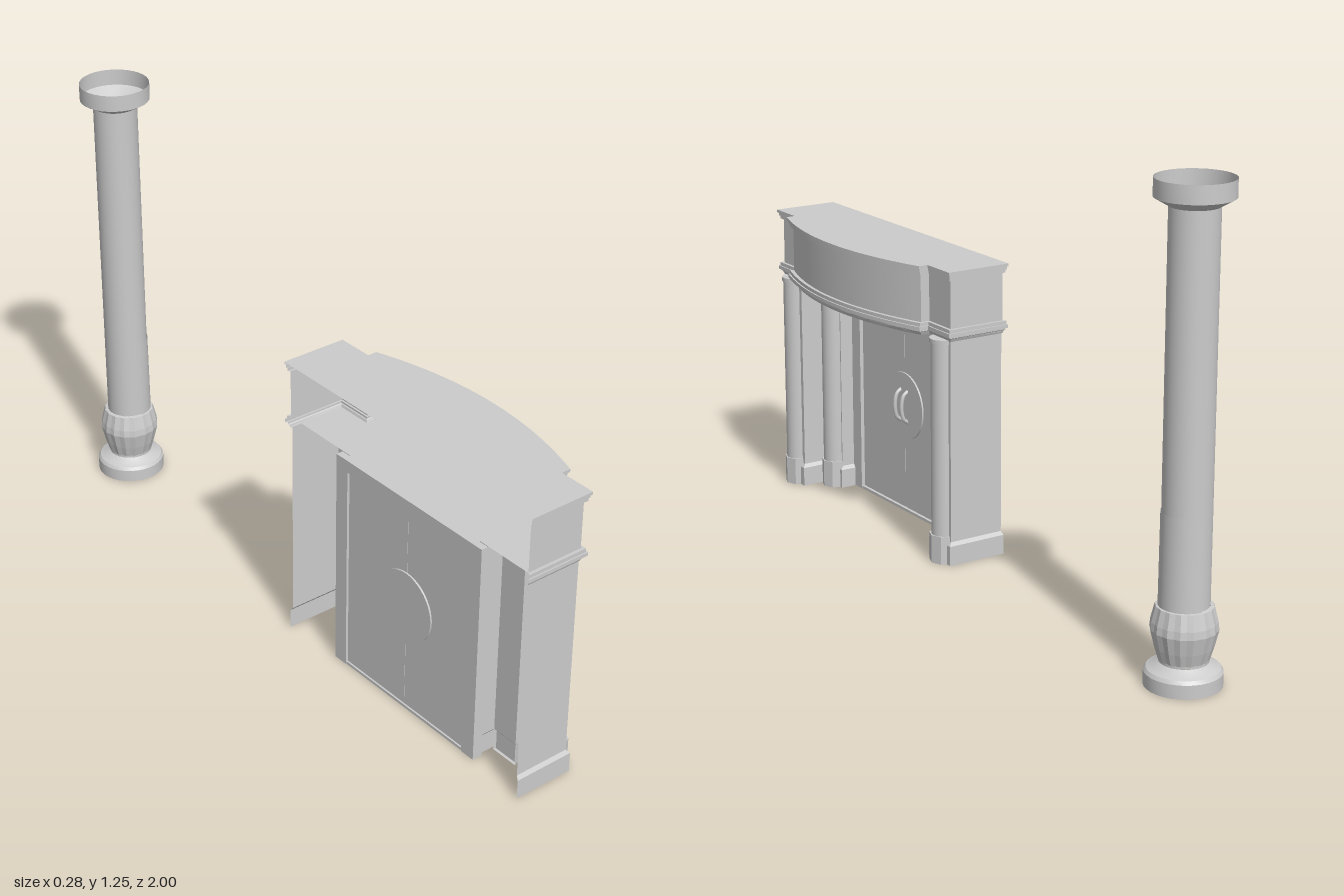
import * as THREE from 'three';
import { toCreasedNormals } from 'three/addons/utils/BufferGeometryUtils.js';

const grey = new THREE.MeshStandardMaterial({ color: 0xcccccc, side: THREE.DoubleSide });
const faceted = new THREE.MeshStandardMaterial({ color: 0xcccccc, side: THREE.DoubleSide, flatShading: true });

function add(parent, name, geometry, x = 0, y = 0, z = 0, material = grey) {
  const mesh = new THREE.Mesh(geometry, material);
  mesh.name = name;
  mesh.position.set(x, y, z);
  parent.add(mesh);
}

// Sweeps a profile of [outset, height] along a plan; plan(outset) gives [x, z] points
function sweep(plan, profile) {
  const rows = profile.map(([o, y]) => plan(o).map(([x, z]) => [x, y, z]));
  const n = rows[0].length;
  const index = [];
  for (let j = 0; j < rows.length - 1; j++) {
    for (let i = 0; i < n - 1; i++) {
      const a = j * n + i, b = a + n;
      index.push(a, b, b + 1, a, b + 1, a + 1);
    }
  }
  const g = new THREE.BufferGeometry();
  g.setAttribute('position', new THREE.Float32BufferAttribute(rows.flat(2), 3));
  g.setIndex(index);
  return toCreasedNormals(g, 0.5);
}

// Flat horizontal sheet filling a plan
function sheet(points) {
  const shape = new THREE.Shape(points.map(([x, z]) => new THREE.Vector2(x, -z)));
  return new THREE.ShapeGeometry(shape).rotateX(-Math.PI / 2);
}

const mirrorPlan = (pts) => pts.map(([x, z]) => [x, -z]).reverse();

// Entablature plan: square ends with a bowed middle
function bowPlan(o, back = -0.132 - o * 0.7) {
  const end = 0.456 + o, step = 0.35 + o, front = 0.036 + o;
  const pts = [[back, -end], [front, -end], [front, -step]];
  for (let i = 0; i <= 28; i++) {
    const t = i / 14 - 1;
    pts.push([0.063 + o + 0.064 * (1 - t * t), t * step]);
  }
  pts.push([front, step], [front, end], [back, end]);
  return pts;
}

// Stepped side wall running from the outer back corner in to the door frame
function wallPlan(o) {
  return [[-0.13 - o * 0.5, -0.453 - o], [0.035 + o, -0.453 - o], [0.035 + o, -0.36 + o],
    [-0.05 + o, -0.36 + o], [-0.05 + o, -0.28 + o], [-0.1 + o, -0.28 + o], [-0.1 + o, -0.25]];
}

// Half cylinder bulging towards +x
const halfColumn = (r, height, sides) =>
  new THREE.CylinderGeometry(r, r, height, sides, 1, false, 0, Math.PI);

function buildPortal() {
  const portal = new THREE.Group();
  portal.name = 'portal';

  // Frieze with stepped mouldings below and above, open at the back
  const mouldings = [[0, 0.638], [0.004, 0.647], [0.007, 0.649], [0.007, 0.654], [0.013, 0.654],
    [0.013, 0.664], [0.009, 0.664], [0.009, 0.674], [0, 0.674], [0, 0.808], [0.007, 0.808],
    [0.007, 0.817], [0.01, 0.817], [0.01, 0.826], [0.014, 0.826], [0.014, 0.834]];
  add(portal, 'entablature', sweep(bowPlan, mouldings));
  add(portal, 'roof', sheet(bowPlan(0.014)), 0, 0.834, 0);
  add(portal, 'ceiling', sheet(bowPlan(0, -0.1)), 0, 0.642, 0);

  // Side walls with a plinth, each carrying two engaged columns
  const wallProfile = [[0.008, 0], [0.008, 0.056], [0, 0.066], [0, 0.642]];
  for (const side of [-1, 1]) {
    const plan = side < 0 ? wallPlan : (o) => mirrorPlan(wallPlan(o));
    add(portal, 'sideWall', sweep(plan, wallProfile));
    for (const [x, z] of [[0.028, 0.408], [-0.05, 0.32]]) {
      const c = new THREE.Group();
      c.name = 'engagedColumn';
      c.position.set(x, 0, side * z);
      add(c, 'columnPlinth', halfColumn(0.042, 0.08, 4), 0, 0.04, 0, faceted);
      add(c, 'columnShaft', halfColumn(0.036, 0.55, 14), 0, 0.355, 0);
      add(c, 'columnCap', halfColumn(0.039, 0.012, 14), 0, 0.634, 0);
      portal.add(c);
    }
  }

  // Door frame around the two leaves
  for (const side of [-1, 1]) {
    add(portal, 'doorJamb', new THREE.BoxGeometry(0.03, 0.605, 0.045), -0.105, 0.3025, side * 0.2575);
  }
  add(portal, 'doorLintel', new THREE.BoxGeometry(0.03, 0.035, 0.56), -0.105, 0.6225, 0);
  add(portal, 'threshold', new THREE.BoxGeometry(0.026, 0.008, 0.47), -0.105, 0.004, 0);

  // Door leaves, round boss and bowed handles
  add(portal, 'doorBoss', new THREE.CylinderGeometry(0.1, 0.1, 0.022, 40).rotateZ(Math.PI / 2), -0.107, 0.32, 0);
  for (const side of [-1, 1]) {
    add(portal, 'doorLeaf', new THREE.BoxGeometry(0.012, 0.597, 0.2345), -0.107, 0.3065, side * 0.1178);
    const arc = new THREE.CatmullRomCurve3([[-0.1, 0.272], [-0.084, 0.285], [-0.077, 0.32],
      [-0.084, 0.355], [-0.1, 0.368]].map(([x, y]) => new THREE.Vector3(x, y, side * 0.018)));
    add(portal, 'doorHandle', new THREE.TubeGeometry(arc, 16, 0.006, 8));
  }
  portal.position.z = 0.532;
  return portal;
}

function lathe(points, segments) {
  const g = new THREE.LatheGeometry(points.map(([r, y]) => new THREE.Vector2(r, y)), segments);
  return toCreasedNormals(g, 0.5);
}

function buildPillar() {
  const pillar = new THREE.Group();
  pillar.name = 'pillar';
  add(pillar, 'pillarBase', lathe([[0.098, 0], [0.098, 0.036], [0.092, 0.045], [0.08, 0.05], [0.063, 0.062]], 32));
  add(pillar, 'pillarShaft', lathe([[0.062, 0.062], [0.062, 1.185]], 32));
  add(pillar, 'pillarCapital', lathe([[0.062, 1.185], [0.098, 1.206], [0.098, 1.252]], 32));
  // Thin sleeve over one side of the lower shaft
  add(pillar, 'shaftSleeve', new THREE.CylinderGeometry(0.064, 0.066, 0.25, 16, 1, true, 0, Math.PI), 0, 0.32, 0);

  // Leafy bulb: ridged gores made by pulling every other seam inwards
  const profile = [[0.064, 0.068], [0.074, 0.1], [0.085, 0.145], [0.083, 0.165], [0.073, 0.205], [0.063, 0.207]];
  const bulb = new THREE.LatheGeometry(profile.map(([r, y]) => new THREE.Vector2(r, y)), 32);
  const p = bulb.attributes.position;
  for (let i = 0; i < p.count; i++) {
    const k = Math.floor(i / profile.length) % 2 ? 0.96 : 1;
    p.setXYZ(i, p.getX(i) * k, p.getY(i), p.getZ(i) * k);
  }
  bulb.computeVertexNormals();
  add(pillar, 'pillarBulb', bulb, 0, 0, 0, faceted);
  pillar.position.z = -0.902;
  return pillar;
}

export function createModel() {
  const model = new THREE.Group();
  model.name = 'portalAndPillar';
  model.add(buildPortal(), buildPillar());
  return model;
}
